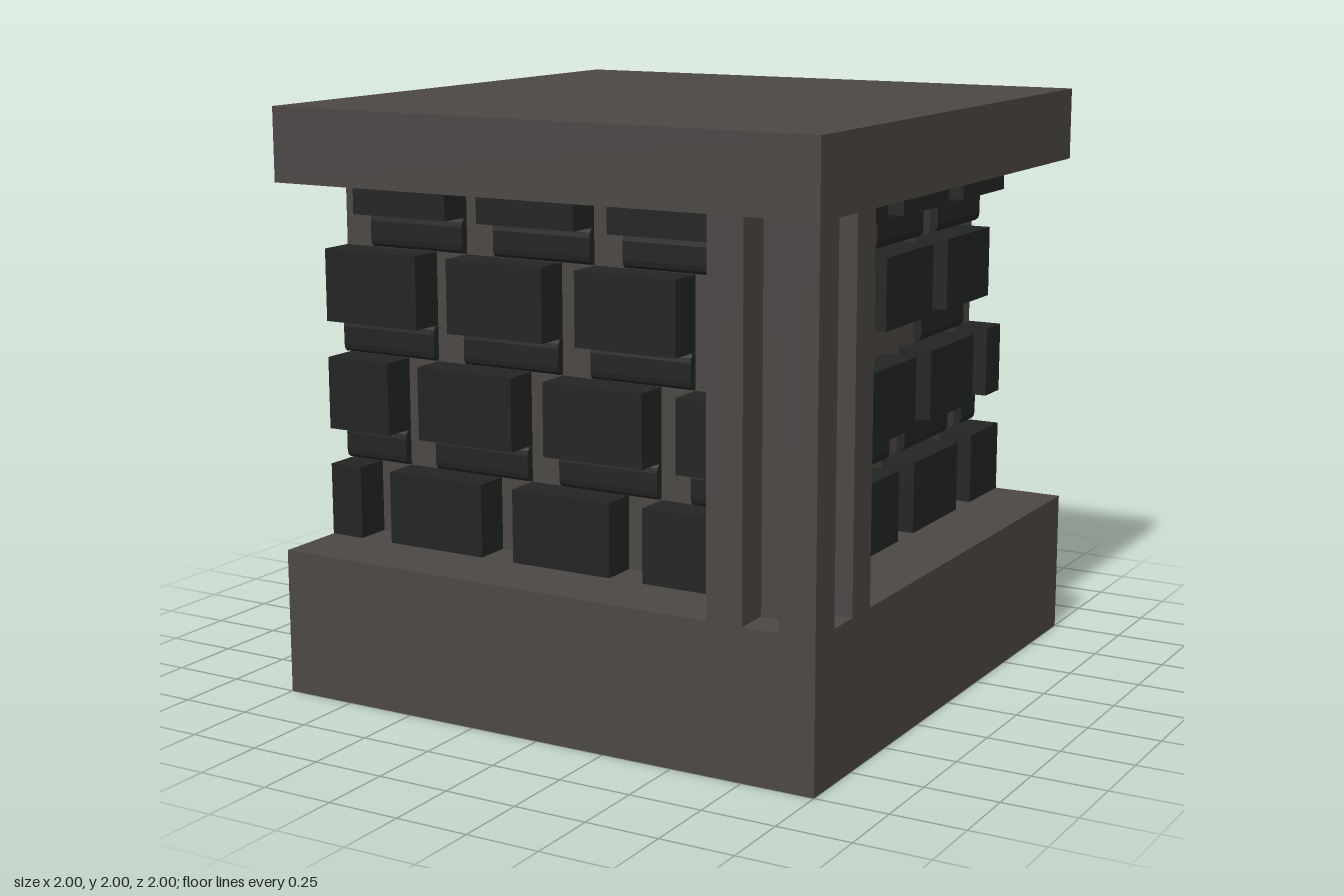
import * as THREE from 'three';

const stone = new THREE.MeshStandardMaterial({ color: 0x4c4745 });
stone.name = 'warm grey stone';
const dark = new THREE.MeshStandardMaterial({ color: 0x232424 });
dark.name = 'dark brick';

// Box given by its two opposite corners
function box(parent, name, mat, [x0, y0, z0], [x1, y1, z1]) {
  const mesh = new THREE.Mesh(new THREE.BoxGeometry(x1 - x0, y1 - y0, z1 - z0), mat);
  mesh.position.set((x0 + x1) / 2, (y0 + y1) / 2, (z0 + z1) / 2);
  mesh.name = name;
  parent.add(mesh);
}

// Rounded bar of mortar-level brick, half sunk into the wall under a brick
function ledge(parent, y, a, b) {
  const w = 0.14, h = 0.122, r = 0.03;
  const s = new THREE.Shape();
  s.moveTo(-w / 2 + r, -h / 2);
  s.lineTo(w / 2 - r, -h / 2).quadraticCurveTo(w / 2, -h / 2, w / 2, -h / 2 + r);
  s.lineTo(w / 2, h / 2 - r).quadraticCurveTo(w / 2, h / 2, w / 2 - r, h / 2);
  s.lineTo(-w / 2 + r, h / 2).quadraticCurveTo(-w / 2, h / 2, -w / 2, h / 2 - r);
  s.lineTo(-w / 2, -h / 2 + r).quadraticCurveTo(-w / 2, -h / 2, -w / 2 + r, -h / 2);
  // Ends on the outer face stand a hair proud of it
  if (a <= -1) a -= 0.003;
  if (b >= 1) b += 0.003;
  const geo = new THREE.ExtrudeGeometry(s, { depth: b - a, bevelEnabled: false, curveSegments: 3 });
  geo.translate(0, 0, -(b - a) / 2);
  const mesh = new THREE.Mesh(geo, dark);
  mesh.position.set(1 - 0.415, y + 0.0625, (a + b) / 2);
  mesh.name = 'brickLedge';
  parent.add(mesh);
}

// Rows: bottom, top, brick spans, ledge spans (ledges hang 0.125 below)
function brickWall(name, rows, sign) {
  const g = new THREE.Group();
  g.name = name;
  const order = ([a, b]) => (sign > 0 ? [a, b] : [-b, -a]);
  for (const [y0, y1, bricks, ledges] of rows) {
    for (const span of bricks) {
      const [a, b] = order(span);
      box(g, 'brick', dark, [0.625, y0, a], [0.75, y1, b]);
    }
    for (const span of ledges) ledge(g, y0 - 0.125, ...order(span));
  }
  return g;
}

export function createModel() {
  const model = new THREE.Group();
  model.name = 'brickBlock';

  // Solid body
  box(model, 'base', stone, [-1, 0, -1], [1, 0.5, 1]);
  box(model, 'topSlab', stone, [-1, 1.75, -1], [1, 2, 1]);
  box(model, 'core', stone, [-1, 0.5, -1], [0.625, 1.75, 0.625]);

  // Corner pillar with one vertical slot on each outer side
  const pillar = new THREE.Group();
  pillar.name = 'cornerPillar';
  box(pillar, 'pillarCore', stone, [0.625, 0.5, 0.625], [0.875, 1.75, 0.875]);
  box(pillar, 'pillarPost', stone, [0.875, 0.5, 0.875], [1, 1.75, 1]);
  box(pillar, 'frontStrip', stone, [0.625, 0.5, 0.875], [0.75, 1.75, 1]);
  box(pillar, 'sideStrip', stone, [0.875, 0.5, 0.625], [1, 1.75, 0.75]);
  model.add(pillar);

  // Brick courses, spans along z on the side
  const s2 = [[0.25, 0.625], [-0.25, 0.125], [-0.75, -0.375], [-1, -0.875]];
  const s4 = [[0, 0.375], [-0.5, -0.125], [-1, -0.625]];
  model.add(brickWall('sideBricks', [
    [0.5, 0.75, [[0.375, 0.625], [-0.125, 0.25], [-0.625, -0.25], [-1, -0.75]], []],
    [0.875, 1.125, s2, s2],
    [1.25, 1.5, [[0.125, 0.5], [-0.375, 0], [-0.875, -0.5]], [[0.125, 0.625], [-0.875, -0.5]]],
    [1.625, 1.75, [[0.5, 0.625], ...s4], s4],
  ], 1));

  // Brick courses, spans along x on the front
  const f2 = [[-1, -0.75], [-0.625, -0.25], [-0.125, 0.25], [0.375, 0.625]];
  const f3 = [[-1, -0.625], [-0.5, -0.125], [0, 0.375], [0.5, 0.625]];
  const f4 = [[-0.875, -0.5], [-0.375, 0], [0.125, 0.5]];
  const front = brickWall('frontBricks', [
    [0.5, 0.75, [[-1, -0.875], [-0.75, -0.375], [-0.25, 0.125], [0.25, 0.625]], []],
    [0.875, 1.125, f2, f2],
    [1.25, 1.5, f3, f3],
    [1.625, 1.75, f4, f4],
  ], -1);
  front.rotation.y = -Math.PI / 2;
  model.add(front);

  return model;
}
